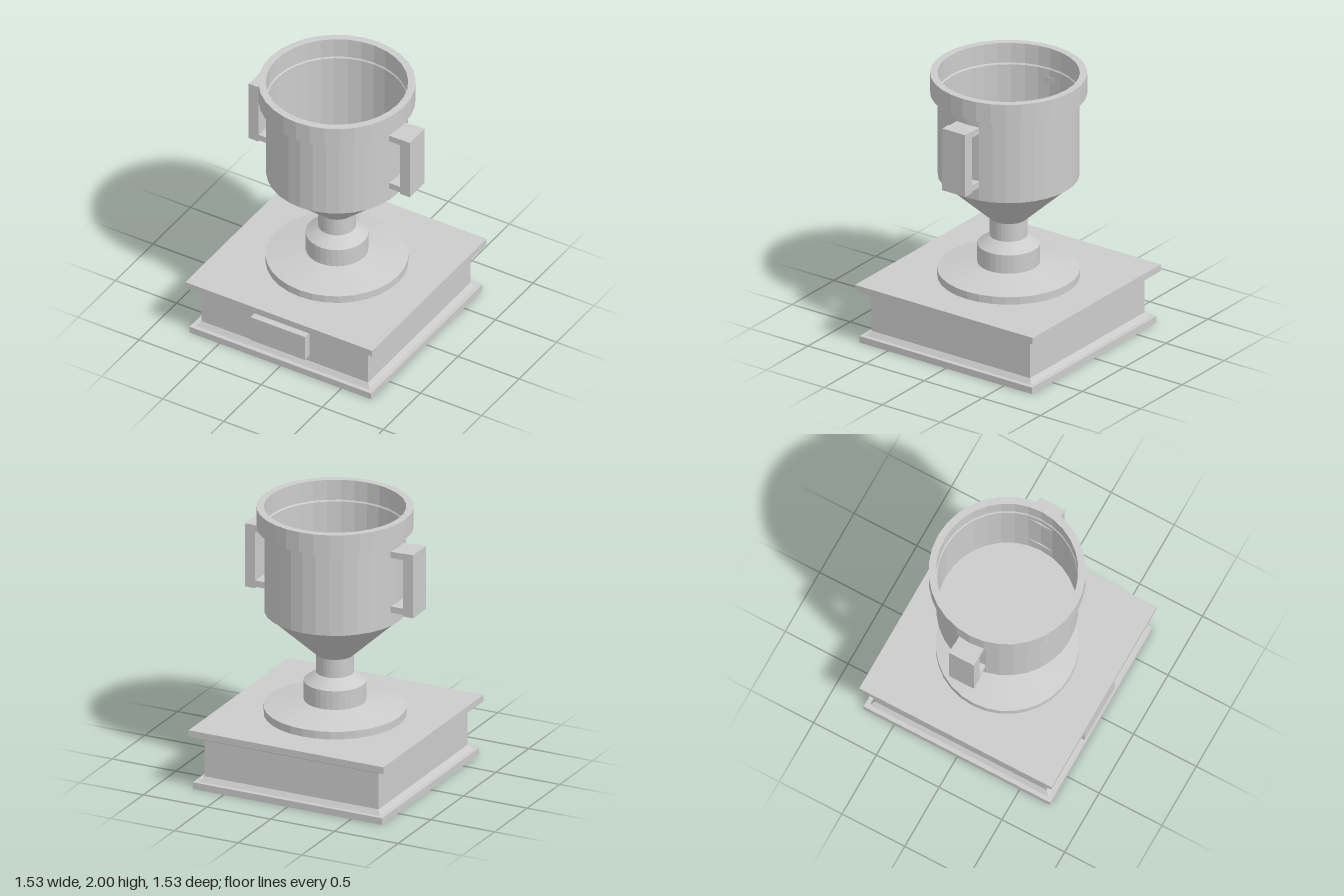
import * as THREE from 'three';

const silver = new THREE.MeshStandardMaterial({ color: 0xcccccc, flatShading: true });
silver.name = 'silver grey';

export function createModel() {
  const model = new THREE.Group();
  model.name = 'trophyCup';

  const add = (name, geometry, x, y, z, parent = model) => {
    const mesh = new THREE.Mesh(geometry, silver);
    mesh.name = name;
    mesh.position.set(x, y, z);
    parent.add(mesh);
    return mesh;
  };
  // box given by its minimum and maximum corners
  const box = (name, a, b, parent) => add(name,
    new THREE.BoxGeometry(b[0] - a[0], b[1] - a[1], b[2] - a[2]),
    (a[0] + b[0]) / 2, (a[1] + b[1]) / 2, (a[2] + b[2]) / 2, parent);
  // square layer with half-widths at the bottom and the top
  const squareLayer = (name, low, high, y0, y1) => {
    const g = new THREE.CylinderGeometry(high * Math.SQRT2, low * Math.SQRT2, y1 - y0, 4);
    add(name, g.rotateY(Math.PI / 4), 0, (y0 + y1) / 2, 0);
  };
  // turned part from [radius, height] pairs, running up the outside
  const turned = (name, profile) => add(name,
    new THREE.LatheGeometry(profile.map(([r, y]) => new THREE.Vector2(r, y)), 32), 0.003, 0, -0.008);

  // square plinth with flared mouldings
  squareLayer('plinthFoot', 0.743, 0.743, 0, 0.05);
  squareLayer('lowerMoulding', 0.71, 0.683, 0.05, 0.085);
  squareLayer('plinthBlock', 0.683, 0.683, 0.085, 0.355);
  squareLayer('upperMoulding', 0.683, 0.71, 0.355, 0.395);
  squareLayer('plinthTop', 0.765, 0.765, 0.395, 0.445);
  box('plaque', [-0.245, 0.13, 0.66], [0.2, 0.33, 0.743]);

  // round foot and stem
  turned('stem', [[0.5, 0.44], [0.5, 0.502], [0.22, 0.555], [0.22, 0.695], [0.133, 0.76], [0.133, 0.91]]);

  // hollow cup: funnel, wall, rim, inner wall and floor
  turned('cup', [[0.132, 0.895], [0.487, 1.222], [0.496, 1.222], [0.496, 1.85], [0.55, 1.85],
    [0.55, 2], [0.4975, 2], [0.4975, 1.85], [0.49, 1.84], [0.49, 1.23], [0, 1.23]]);

  // pair of square handles
  for (const [name, side] of [['leftHandle', 1], ['rightHandle', -1]]) {
    const handle = new THREE.Group();
    handle.name = name;
    const span = (a, b) => side > 0 ? [a, b] : [-b, -a];
    const [g0, g1] = span(0.58, 0.66);
    box('grip', [g0, 1.313, -0.108], [g1, 1.787, 0.09], handle);
    const [b0, b1] = span(0.482, 0.582);
    box('upperBracket', [b0, 1.735, -0.105], [b1, 1.782, 0.087], handle);
    box('lowerBracket', [b0, 1.323, -0.105], [b1, 1.37, 0.087], handle);
    model.add(handle);
  }
  return model;
}
